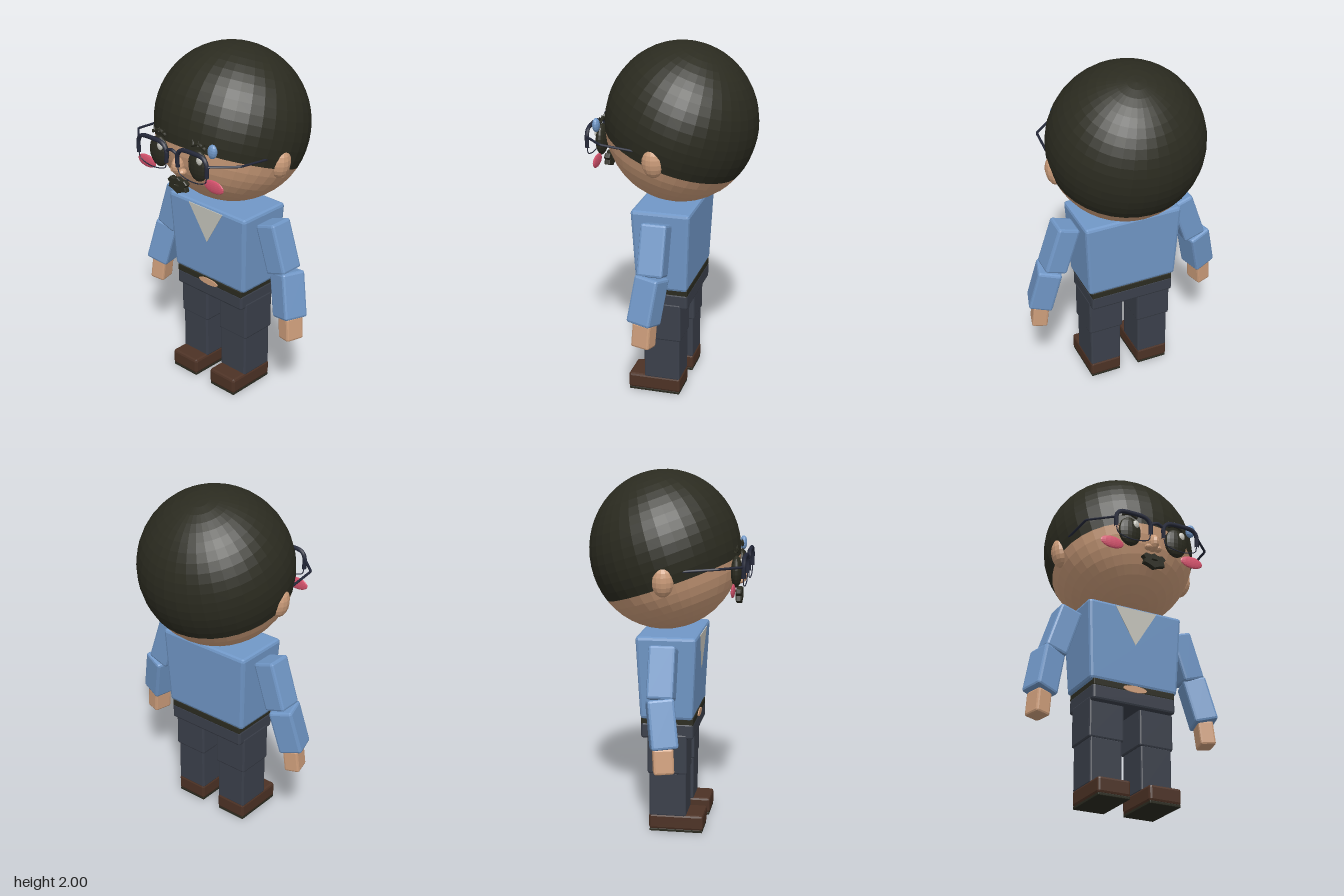
import * as THREE from 'three';
import { RoundedBoxGeometry } from 'three/addons/geometries/RoundedBoxGeometry.js';

const mat = (name, color) => {
  const m = new THREE.MeshStandardMaterial({ color });
  m.name = name;
  return m;
};

export function createModel() {
  const model = new THREE.Group();
  model.name = 'cartoonMan';
  const hair = mat('darkHair', 0x2b2b20);
  const skin = mat('skin', 0xcf9f7c);
  const blue = mat('blueSweater', 0x7198c8);
  const trousers = mat('trousers', 0x3b404b);
  const leather = mat('brownLeather', 0x4d3225);
  const pink = mat('pinkBlush', 0xd9546f);
  const pale = mat('paleCloth', 0xc9c8bf);
  const frame = mat('glassesFrame', 0x25293a);

  // Faceted normals
  const flat = (g) => {
    const f = g.index ? g.toNonIndexed() : g;
    f.computeVertexNormals();
    return f;
  };
  const add = (name, geo, material, pos = [0, 0, 0], rot = [0, 0, 0], parent = model) => {
    const m = new THREE.Mesh(geo, material);
    m.name = name;
    m.position.set(...pos);
    m.rotation.set(...rot);
    parent.add(m);
    return m;
  };
  // Bevelled block, optionally narrowed towards its bottom
  const block = (w, h, d, r = 0.012, bx = 1, bz = 1) => {
    const g = new RoundedBoxGeometry(w, h, d, 1, r);
    const p = g.attributes.position;
    for (let i = 0; i < p.count; i++) {
      const t = 0.5 - p.getY(i) / h;
      p.setX(i, p.getX(i) * (1 + (bx - 1) * t));
      p.setZ(i, p.getZ(i) * (1 + (bz - 1) * t));
    }
    return flat(g);
  };
  const ball = (rx, ry, rz, seg = 12) =>
    flat(new THREE.SphereGeometry(1, seg, Math.round(seg * 0.7)).scale(rx, ry, rz));
  const tube = (pts, r, smooth = true) => {
    const v = pts.map((p) => new THREE.Vector3(...p));
    return new THREE.TubeGeometry(new THREE.CatmullRomCurve3(v, false, 'catmullrom', smooth ? 0.5 : 0.01), 28, r, 6);
  };

  // Head: one ellipsoid split along a tilted hairline
  const cut = 1.942, tilt = -0.33;
  const cap = (from, length, rows) => flat(new THREE.SphereGeometry(1, 36, rows, 0, Math.PI * 2, from, length)
    .rotateX(tilt).scale(0.437, 0.44, 0.42));
  add('hair', cap(0, cut, 16), hair, [0, 1.56, -0.03]);
  add('face', cap(cut, Math.PI - cut, 9), skin, [0, 1.56, -0.03]);

  // Nose
  add('nose', ball(0.03, 0.05, 0.045), skin, [0, 1.43, 0.385]);
  for (const s of [-1, 1]) add('nostril', ball(0.022, 0.018, 0.025, 10), skin, [s * 0.03, 1.40, 0.385]);

  // Beard: a scalloped ring around the mouth
  const beard = new THREE.Shape([
    [-0.068, 1.335], [-0.05, 1.352], [-0.02, 1.348], [0, 1.358], [0.02, 1.348], [0.05, 1.352], [0.068, 1.335],
    [0.055, 1.32], [0.062, 1.295], [0.035, 1.288], [0, 1.272], [-0.035, 1.288], [-0.062, 1.295], [-0.055, 1.32],
  ].map((p) => new THREE.Vector2(...p)));
  beard.holes.push(new THREE.Path().absellipse(0, 1.319, 0.022, 0.006, 0, Math.PI * 2));
  add('beard', new THREE.ExtrudeGeometry(beard, {
    depth: 0.02, bevelEnabled: true, bevelSize: 0.003, bevelThickness: 0.006, bevelSegments: 1, curveSegments: 4,
  }), hair, [0, 0, 0.375]);

  // Face details on both sides
  for (const s of [-1, 1]) {
    add('ear', ball(0.052, 0.088, 0.062, 14), skin, [s * 0.392, 1.445, 0.02], [0, 0, -s * 0.12]);
    add('eye', ball(0.068, 0.087, 0.03, 16), hair, [s * 0.145, 1.468, 0.382]);
    add('eyeGlint', ball(0.02, 0.024, 0.01, 10), pale, [s * 0.145 + 0.028, 1.51, 0.404]);
    add('cheek', ball(0.07, 0.036, 0.01, 14), pink, [s * 0.25, 1.378, 0.376]);
    add('eyebrow', tube([[-0.05, -0.012, 0], [0, 0.006, 0], [0.05, -0.012, 0]], 0.01), hair, [s * 0.145, 1.58, 0.378]);
    for (const k of [-1, 0, 1]) {
      add('eyebrowTip', flat(new THREE.ConeGeometry(0.01, 0.03, 5)), hair,
        [s * 0.145 + k * 0.038, 1.592, 0.38], [0, 0, -k * 0.5]);
    }
  }
  add('blueDrop', ball(0.03, 0.04, 0.02, 12), blue, [0.245, 1.575, 0.38], [0, 0, -0.15]);

  // Glasses: thick upper rims, fine lower wires, bent temple arms
  const glasses = new THREE.Group();
  glasses.name = 'glasses';
  model.add(glasses);
  for (const s of [-1, 1]) {
    const z = 0.431;
    add('upperRim', tube([[0.253, 1.447, z], [0.253, 1.515, z], [0.225, 1.55, z], [0.15, 1.556, z],
      [0.075, 1.55, z], [0.042, 1.515, z], [0.042, 1.447, z]].map(([x, y, w]) => [s * x, y, w]), 0.012),
    frame, [0, 0, 0], [0, 0, 0], glasses);
    add('lowerWire', tube([[0.253, 1.45, z], [0.235, 1.41, z], [0.15, 1.393, z], [0.06, 1.41, z],
      [0.042, 1.45, z]].map(([x, y, w]) => [s * x, y, w]), 0.003), frame, [0, 0, 0], [0, 0, 0], glasses);
    add('templeArm', tube([[s * 0.255, 1.508, z], [s * 0.38, 1.512, 0.315], [s * 0.395, 1.495, 0.1]], 0.007, false),
      frame, [0, 0, 0], [0, 0, 0], glasses);
  }
  add('bridge', tube([[-0.042, 1.515, 0.431], [0, 1.532, 0.433], [0.042, 1.515, 0.431]], 0.009),
    frame, [0, 0, 0], [0, 0, 0], glasses);

  // Torso with pale V neck
  add('torso', block(0.58, 0.465, 0.335, 0.018, 0.915, 0.87), blue, [0, 0.888, 0.018]);
  const vee = new THREE.Shape([[-0.128, 0.212], [0, 0], [0.128, 0.212]].map((p) => new THREE.Vector2(...p)));
  add('neckPanel', new THREE.ExtrudeGeometry(vee, { depth: 0.004, bevelEnabled: false }), pale,
    [0, 0.895, 0.174], [0.047, 0, 0]);

  // Belt, buckle and hips
  add('belt', block(0.495, 0.04, 0.292, 0.005), hair, [0, 0.642, 0.019]);
  add('buckle', new THREE.CylinderGeometry(1, 1, 0.008, 16).rotateX(Math.PI / 2).scale(0.072, 0.019, 1),
    skin, [0, 0.638, 0.167]);
  add('hips', block(0.5, 0.09, 0.292, 0.012), trousers, [0, 0.588, 0.019]);

  // Limbs
  for (const s of [-1, 1]) {
    const leg = new THREE.Group();
    leg.name = s > 0 ? 'leftLeg' : 'rightLeg';
    const arm = new THREE.Group();
    arm.name = s > 0 ? 'leftArm' : 'rightArm';
    model.add(leg, arm);

    add('thigh', block(0.205, 0.23, 0.22, 0.01), trousers, [s * 0.15, 0.455, 0.02], [0, 0, 0], leg);
    add('shin', block(0.187, 0.26, 0.207, 0.01), trousers, [s * 0.15, 0.22, 0.022], [0, 0, 0], leg);
    add('shoe', block(0.19, 0.09, 0.305, 0.014), leather, [s * 0.15, 0.057, 0.068], [0, 0, 0], leg);
    add('sole', block(0.182, 0.016, 0.297, 0.003), hair, [s * 0.15, 0.008, 0.068], [0, 0, 0], leg);

    add('upperArm', block(0.132, 0.285, 0.145, 0.014), blue, [s * 0.388, 0.948, 0.018], [0, 0, s * 0.32], arm);
    add('forearm', block(0.138, 0.265, 0.145, 0.014), blue, [s * 0.478, 0.692, 0.03],
      [-0.07, -s * 0.28, s * 0.23], arm);
    add('hand', block(0.09, 0.14, 0.11, 0.012), skin, [s * 0.51, 0.502, 0.042],
      [-0.03, -s * 0.25, s * 0.1], arm);
  }
  return model;
}
